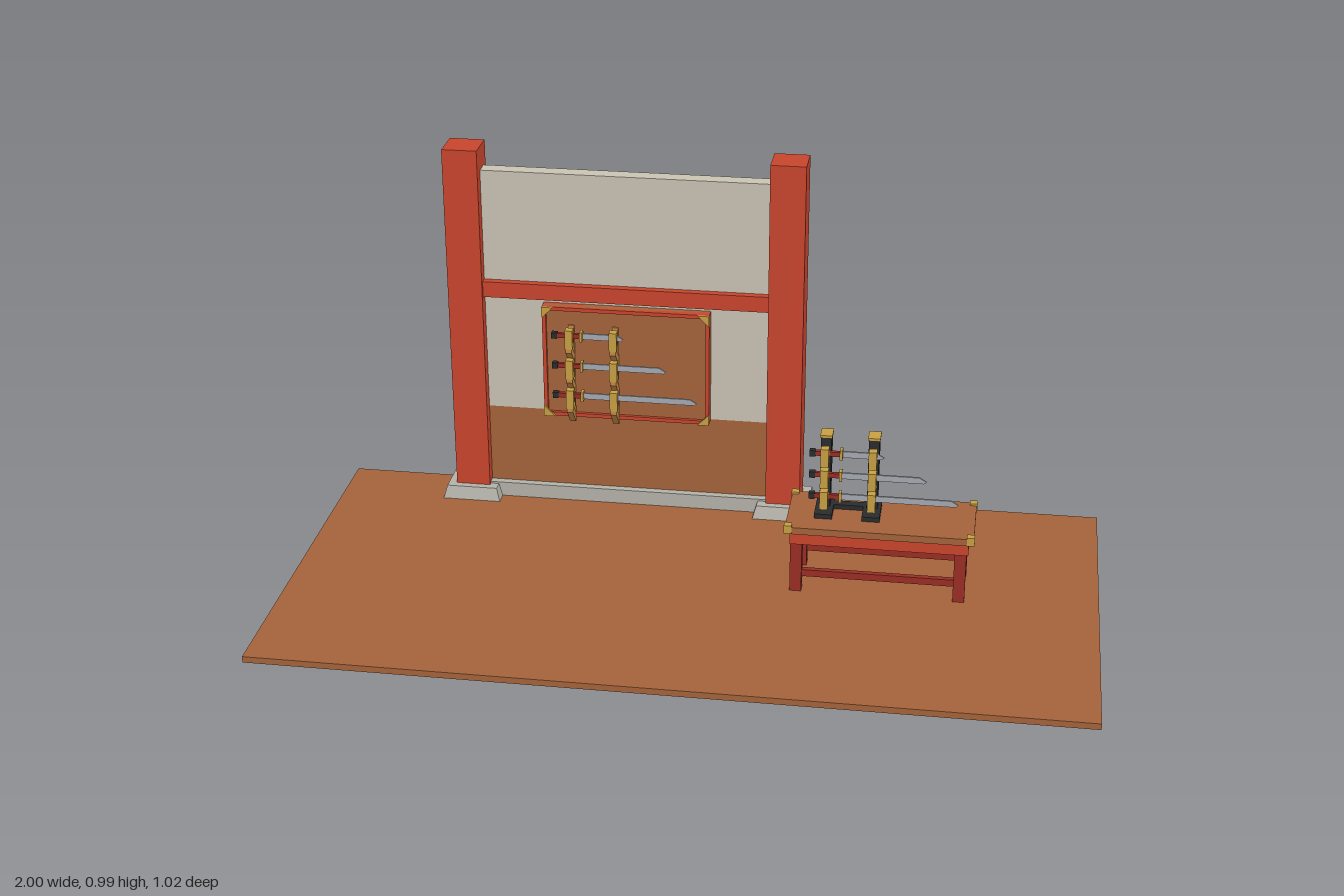
import * as THREE from 'three';

const mat = (name, color) => {
  const m = new THREE.MeshStandardMaterial({ color });
  m.name = name;
  return m;
};

export function createModel() {
  const red = mat('vermilion paint', 0xc8452d);
  const darkRed = mat('dark red paint', 0x9a2e25);
  const brown = mat('brown wood', 0xa5633a);
  const plaster = mat('plaster', 0xcac3b4);
  const stone = mat('grey stone', 0xb4b2a9);
  const black = mat('black lacquer', 0x2a2b2d);
  const gold = mat('brass', 0xc9a043);
  const wood = mat('light wood', 0xc58a45);
  const steel = mat('steel', 0xa6abb2);

  const model = new THREE.Group();
  model.name = 'swordDisplay';

  const add = (parent, name, geometry, material) => {
    const mesh = new THREE.Mesh(geometry, material);
    mesh.name = name;
    parent.add(mesh);
    return mesh;
  };
  // Box given by its limits on each axis
  const box = (parent, name, material, x0, x1, y0, y1, z0, z1) => {
    const mesh = add(parent, name, new THREE.BoxGeometry(x1 - x0, y1 - y0, z1 - z0), material);
    mesh.position.set((x0 + x1) / 2, (y0 + y1) / 2, (z0 + z1) / 2);
    return mesh;
  };
  const group = (name) => {
    const g = new THREE.Group();
    g.name = name;
    model.add(g);
    return g;
  };
  const extrude = (points, depth) => {
    const shape = new THREE.Shape(points.map(([x, y]) => new THREE.Vector2(x, y)));
    return new THREE.ExtrudeGeometry(shape, { depth, bevelEnabled: false });
  };
  // Profile drawn as (z, y), extruded along x and centred on x
  const sideProfile = (points, width) =>
    extrude(points.map(([z, y]) => [-z, y]), width).rotateY(Math.PI / 2).translate(-width / 2, 0, 0);

  // Floor
  box(model, 'floor', brown, -1, 1, 0, 0.016, -0.489, 0.511);

  // Wall section between two posts
  const wall = group('wall');
  for (const x of [-0.65, 0.18]) {
    box(wall, 'post', red, x - 0.045, x + 0.045, 0.045, 0.985, -0.473, -0.38);
    const plinth = new THREE.CylinderGeometry(0.067 * Math.SQRT2, 0.08 * Math.SQRT2, 0.048, 4)
      .rotateY(Math.PI / 4).toNonIndexed();
    plinth.computeVertexNormals();
    add(wall, 'plinth', plinth, stone).position.set(x, 0.026, -0.428);
  }
  box(wall, 'sill', stone, -0.605, 0.135, 0.016, 0.055, -0.465, -0.39);
  box(wall, 'lowerPanel', brown, -0.605, 0.135, 0.055, 0.27, -0.452, -0.41);
  box(wall, 'middlePanel', plaster, -0.605, 0.135, 0.27, 0.59, -0.452, -0.41);
  box(wall, 'crossBeam', red, -0.605, 0.135, 0.588, 0.63, -0.466, -0.39);
  box(wall, 'upperPanel', plaster, -0.605, 0.135, 0.63, 0.925, -0.452, -0.41);

  // Framed board on the wall
  const board = group('wallBoard');
  const [bx0, bx1, by0, by1] = [-0.45, -0.015, 0.268, 0.575];
  box(board, 'boardPanel', brown, bx0, bx1, by0, by1, -0.411, -0.388);
  for (const y of [by0, by1 - 0.01]) box(board, 'frameRail', red, bx0, bx1, y, y + 0.01, -0.41, -0.379);
  for (const x of [bx0, bx1 - 0.01]) box(board, 'frameStile', red, x, x + 0.01, by0, by1, -0.41, -0.379);
  const cornerShapes = [[0, 0], [0.03, 0], [0, 0.03]];
  [[bx0, by0, 0], [bx1, by0, 1], [bx1, by1, 2], [bx0, by1, 3]].forEach(([x, y, turn]) => {
    const corner = add(board, 'boardCorner', extrude(cornerShapes, 0.006), gold);
    corner.position.set(x, y, -0.379);
    corner.rotation.z = turn * Math.PI / 2;
  });

  // Sword lying along x, pommel at the left, guard at x = 0
  const sword = (parent, x, y, z, length) => {
    const s = new THREE.Group();
    s.name = 'sword';
    const blade = extrude(
      [[0, -0.008], [length - 0.006, -0.008], [length, -0.003], [length - 0.018, 0.008], [0, 0.008]], 0.005);
    add(s, 'blade', blade.translate(0, 0, -0.0025), steel);
    box(s, 'grip', darkRed, -0.065, 0, -0.006, 0.006, -0.005, 0.005);
    box(s, 'pommel', black, -0.077, -0.062, -0.008, 0.008, -0.007, 0.007);
    box(s, 'collar', gold, -0.036, -0.028, -0.007, 0.007, -0.006, 0.006);
    box(s, 'guard', gold, -0.003, 0.004, -0.013, 0.013, -0.01, 0.01);
    s.position.set(x, y, z);
    parent.add(s);
  };

  // Hook open to the back; origin at its front bottom edge
  const hook = (parent, x, y, z, h, material) => {
    const points = [[0, 0], [0, h], [-0.022, h], [-0.022, h - 0.01], [-0.012, h - 0.01],
      [-0.012, 0.014], [-0.022, 0.014], [-0.022, 0]];
    add(parent, 'hook', sideProfile(points, 0.02), material).position.set(x, y, z);
  };

  // Wall rack with braced hooks
  const wallRack = group('wallRack');
  [[0.505, 0.11], [0.421, 0.22], [0.337, 0.30]].forEach(([y, length]) => {
    for (const x of [-0.375, -0.26]) {
      hook(wallRack, x, y - 0.032, -0.345, 0.052, gold);
      box(wallRack, 'arm', darkRed, x - 0.007, x + 0.007, y - 0.026, y - 0.017, -0.39, -0.362);
      const brace = sideProfile([[-0.345, y - 0.032], [-0.362, y - 0.032],
        [-0.388, y - 0.066], [-0.388, y - 0.084], [-0.381, y - 0.083], [-0.345, y - 0.042]], 0.016);
      add(wallRack, 'brace', brace, wood).position.x = x;
      box(wallRack, 'backStrip', wood, x - 0.008, x + 0.008, y - 0.07, y + 0.02, -0.39, -0.384);
    }
    sword(wallRack, -0.345, y, -0.363, length);
  });

  // Table
  const table = group('table');
  box(table, 'tableTop', brown, 0.228, 0.688, 0.182, 0.2, -0.171, 0.026);
  box(table, 'apron', red, 0.24, 0.676, 0.149, 0.182, -0.16, 0.015);
  for (const z of [-0.153, -0.02]) {
    for (const x of [0.241, 0.643]) box(table, 'leg', darkRed, x, x + 0.029, 0.016, 0.15, z, z + 0.03);
    box(table, 'stretcher', darkRed, 0.27, 0.643, 0.054, 0.072, z + 0.008, z + 0.022);
  }
  for (const x of [0.226, 0.671])
    for (const z of [-0.173, 0.009]) box(table, 'tableCorner', gold, x, x + 0.019, 0.184, 0.205, z, z + 0.019);

  // Table stand with three tiers
  const stand = group('tableStand');
  for (const x of [0.316, 0.433]) {
    box(stand, 'standFoot', black, x - 0.022, x + 0.022, 0.2, 0.212, -0.121, -0.031);
    box(stand, 'standPost', black, x - 0.013, x + 0.013, 0.21, 0.4, -0.116, -0.078);
    box(stand, 'postCap', gold, x - 0.015, x + 0.015, 0.399, 0.405, -0.118, -0.076);
  }
  box(stand, 'standBar', black, 0.33, 0.42, 0.2, 0.212, -0.111, -0.088);
  [[0.367, 0.105], [0.309, 0.21], [0.251, 0.29]].forEach(([y, length]) => {
    for (const x of [0.316, 0.433]) {
      hook(stand, x, y - 0.03, -0.038, 0.048, gold);
      box(stand, 'arm', darkRed, x - 0.008, x + 0.008, y - 0.018, y - 0.01, -0.08, -0.05);
    }
    sword(stand, 0.355, y, -0.057, length);
  });

  return model;
}
